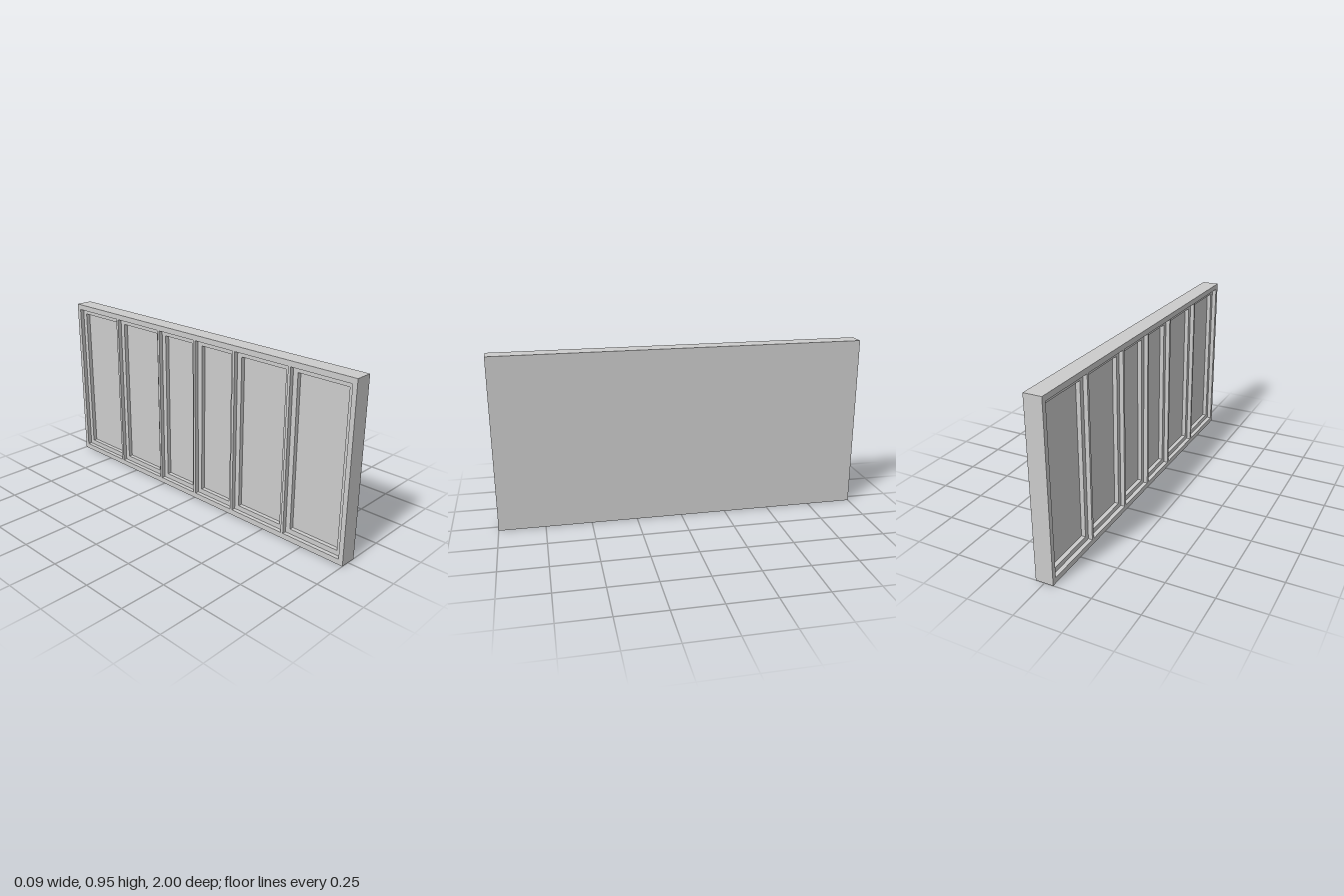
import * as THREE from 'three';

const LENGTH = 2, HEIGHT = 0.95, DEPTH = 0.095;
const STEP = 0.023;   // depth of each recess step
const SASH = 0.027;   // visible width of the inner sash
const RAIL = 0.03;    // top and bottom rail of the outer frame

// Openings along z for one half; the other half is mirrored
const half = [[0.007, 0.27], [0.285, 0.62], [0.635, 0.975]];
const openings = [...half.map(([a, b]) => [-b, -a]).reverse(), ...half];

function rect(Type, a, b, y0, y1) {
  const r = new Type();
  r.moveTo(a, y0);
  r.lineTo(b, y0);
  r.lineTo(b, y1);
  r.lineTo(a, y1);
  r.closePath();
  return r;
}

// Full-size sheet with the window openings cut out, inset by a margin;
// its back sits at x and it grows towards -x
function frameLayer(name, x, inset, material) {
  const shape = rect(THREE.Shape, -LENGTH / 2, LENGTH / 2, 0, HEIGHT);
  for (const [a, b] of openings) {
    shape.holes.push(rect(THREE.Path, a + inset, b - inset,
      RAIL + inset, HEIGHT - RAIL - inset));
  }
  const geometry = new THREE.ExtrudeGeometry(shape, { depth: STEP, bevelEnabled: false });
  geometry.rotateY(-Math.PI / 2);
  const mesh = new THREE.Mesh(geometry, material);
  mesh.name = name;
  mesh.position.x = x;
  return mesh;
}

export function createModel() {
  const group = new THREE.Group();
  group.name = 'panelledWall';
  const material = new THREE.MeshStandardMaterial({ color: 0xcccccc });

  // Solid backing, plain on the +x side
  const thickness = DEPTH - 2 * STEP;
  const backing = new THREE.Mesh(new THREE.BoxGeometry(thickness, HEIGHT, LENGTH), material);
  backing.name = 'backing';
  backing.position.set(DEPTH / 2 - thickness / 2, HEIGHT / 2, 0);
  group.add(backing);

  // Two stepped frames on the -x side
  const face = DEPTH / 2 - thickness;
  group.add(frameLayer('innerSashes', face, SASH, material));
  group.add(frameLayer('outerFrame', face - STEP, 0, material));
  return group;
}
